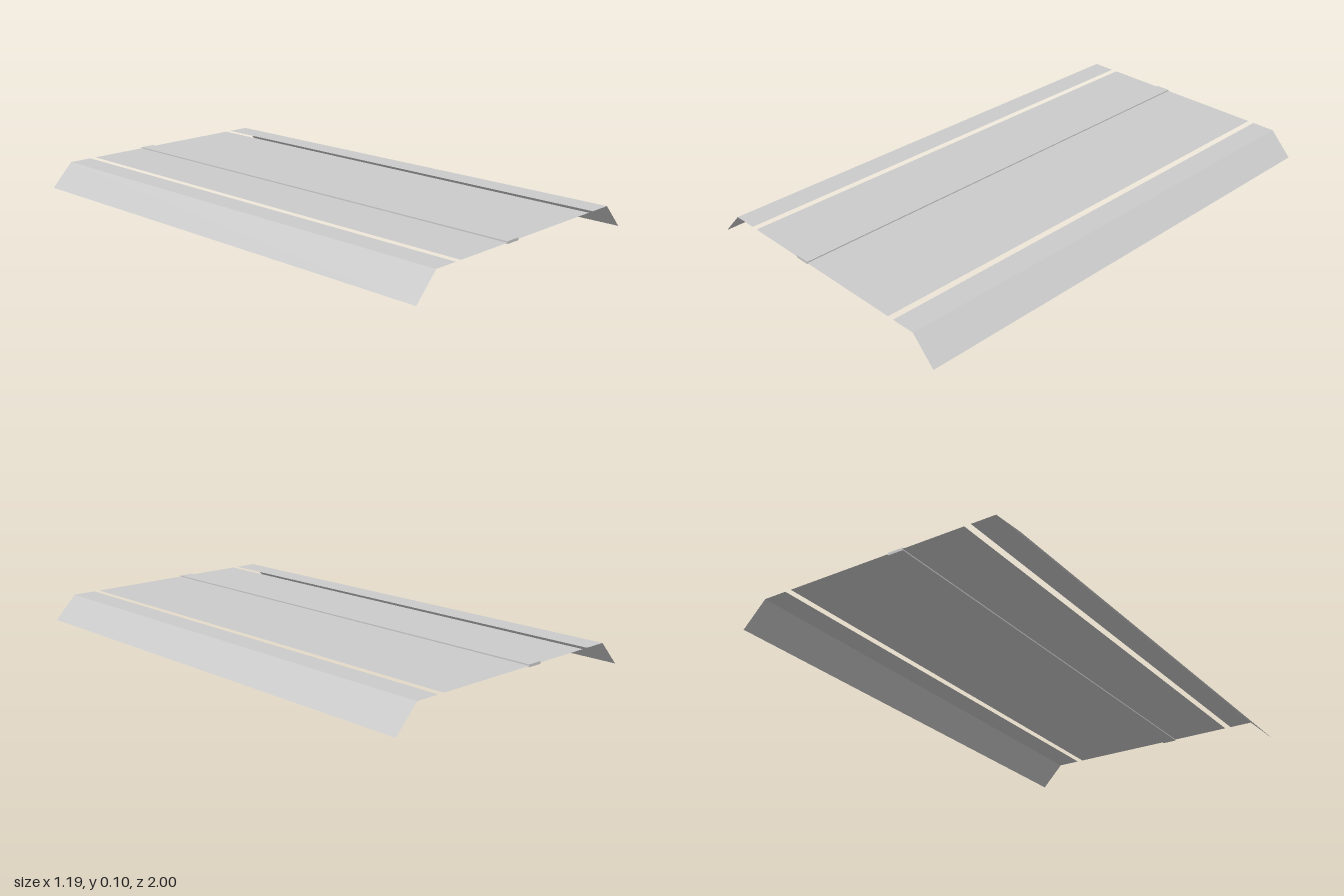
import * as THREE from 'three';

const LENGTH = 2;
const DECK_Y = 0.0965;

export function createModel() {
  const model = new THREE.Group();
  const sheetMaterial = new THREE.MeshStandardMaterial({
    color: 0xcccccc, flatShading: true, side: THREE.DoubleSide,
  });
  const solidMaterial = new THREE.MeshStandardMaterial({ color: 0xcccccc, flatShading: true });

  // Thin sheet running along z, spanning (x0, y0) to (x1, y1) in cross-section
  function addSheet(name, x0, y0, x1, y1, parent) {
    const geometry = new THREE.PlaneGeometry(Math.hypot(x1 - x0, y1 - y0), LENGTH);
    geometry.rotateX(-Math.PI / 2);
    geometry.rotateZ(Math.atan2(y1 - y0, x1 - x0));
    geometry.translate((x0 + x1) / 2, (y0 + y1) / 2, 0);
    const mesh = new THREE.Mesh(geometry, sheetMaterial);
    mesh.name = name;
    parent.add(mesh);
  }

  // Wide centre deck
  addSheet('deck', -0.376, DECK_Y, 0.376, DECK_Y, model);

  // Slim bar set into the deck, off centre
  const bar = new THREE.Mesh(new THREE.BoxGeometry(0.063, 0.01, LENGTH), solidMaterial);
  bar.name = 'deckBar';
  bar.position.set(-0.095, DECK_Y, 0);
  model.add(bar);

  // Edge strips, each with a flange sloping down and outwards
  for (const side of [-1, 1]) {
    const edge = new THREE.Group();
    edge.name = side > 0 ? 'leftEdge' : 'rightEdge';
    const [inner, fold, outer] = [0.402, 0.5, 0.593].map((x) => x * side);
    if (side > 0) {
      addSheet('edgeStrip', inner, DECK_Y, fold, DECK_Y, edge);
      addSheet('edgeFlange', fold, DECK_Y, outer, 0, edge);
    } else {
      addSheet('edgeStrip', fold, DECK_Y, inner, DECK_Y, edge);
      addSheet('edgeFlange', outer, 0, fold, DECK_Y, edge);
    }
    model.add(edge);
  }

  return model;
}
